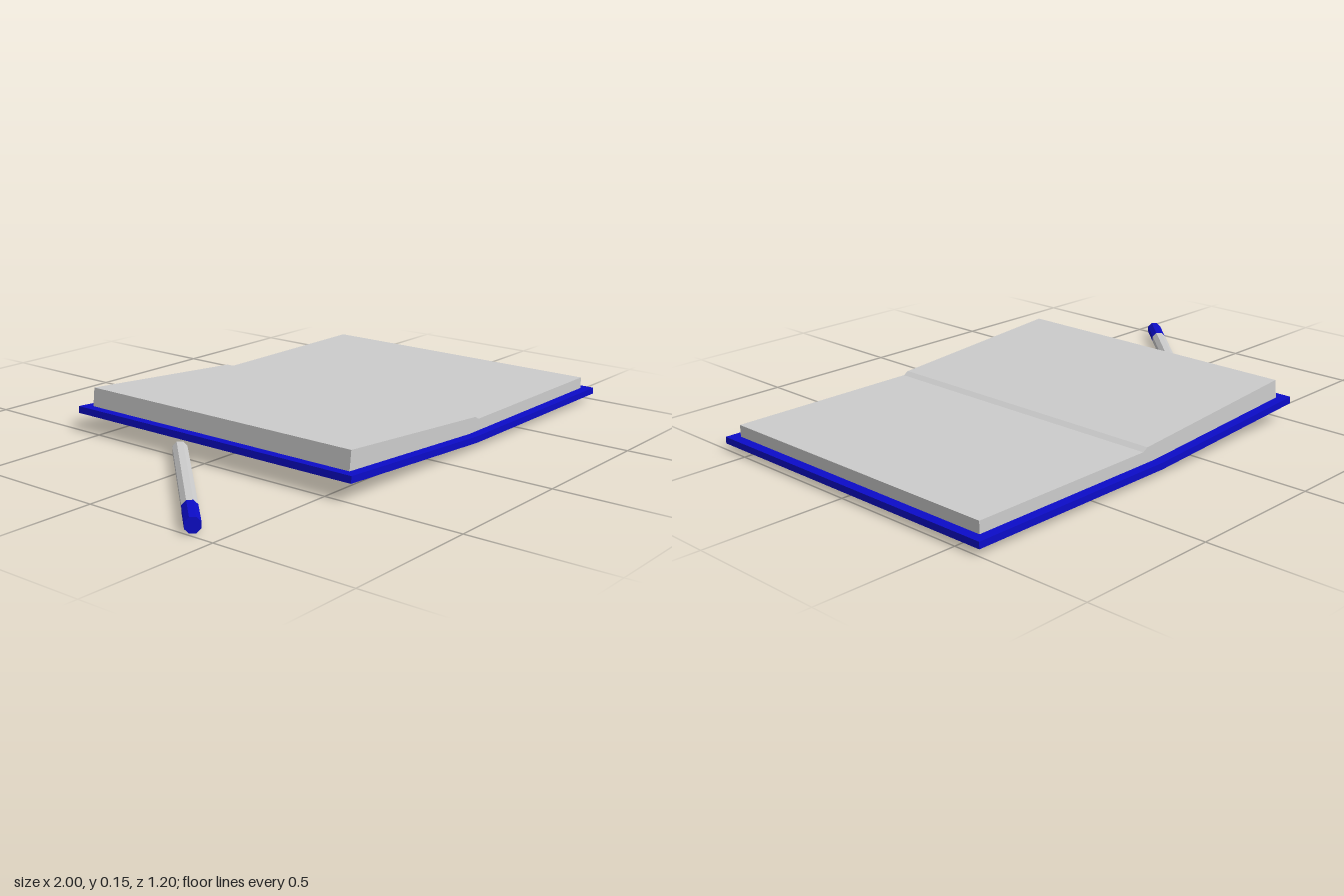
import * as THREE from 'three';

const blue = new THREE.MeshStandardMaterial({ color: 0x0c0cc8, flatShading: true });
const grey = new THREE.MeshStandardMaterial({ color: 0xcccccc, flatShading: true });

// Solid with an x-y outline, centred on z = 0
function slab(name, outline, depth, material) {
  const shape = new THREE.Shape(outline.map(([x, y]) => new THREE.Vector2(x, y)));
  const geometry = new THREE.ExtrudeGeometry(shape, { depth, bevelEnabled: false });
  geometry.translate(0, 0, -depth / 2);
  const mesh = new THREE.Mesh(geometry, material);
  mesh.name = name;
  return mesh;
}

// Eight-sided rod section lying along x, with a flat facet on top
function rod(name, start, end, material) {
  const r = 0.025 / Math.cos(Math.PI / 8);
  const geometry = new THREE.CylinderGeometry(r, r, end - start, 8);
  geometry.rotateY(Math.PI / 8);
  geometry.rotateZ(-Math.PI / 2);
  geometry.translate((start + end) / 2, 0, 0);
  const mesh = new THREE.Mesh(geometry, material);
  mesh.name = name;
  return mesh;
}

export function createModel() {
  const model = new THREE.Group();
  model.name = 'openBookAndPen';

  // Book: bent cover with a page block on each side of the fold
  const book = new THREE.Group();
  book.name = 'book';
  book.add(
    slab('cover', [[-0.5, 0.062], [0.2, 0.022], [1, 0.022], [1, 0.045], [0.2, 0.045], [-0.498, 0.086]], 1.2, blue),
    slab('rightHandPages', [[0.2, 0.045], [0.965, 0.045], [0.965, 0.086], [0.255, 0.086], [0.2, 0.086]], 1.13, grey),
    slab('leftHandPages', [[-0.462, 0.084], [0.2, 0.045], [0.255, 0.086], [0.235, 0.097], [-0.454, 0.15]], 1.13, grey)
  );
  model.add(book);

  // Pen: lies on the ground with its inner end under the cover
  const tip = new THREE.Vector2(-0.982, 0.407);
  const tail = new THREE.Vector2(-0.491, -0.119);
  const length = tip.distanceTo(tail);
  const pen = new THREE.Group();
  pen.name = 'pen';
  pen.add(rod('penCap', 0, length * 0.2, blue), rod('penBody', length * 0.2, length, grey));
  pen.position.set(tip.x, 0.025, tip.y);
  pen.rotation.y = Math.atan2(tip.y - tail.y, tail.x - tip.x);
  model.add(pen);

  return model;
}
